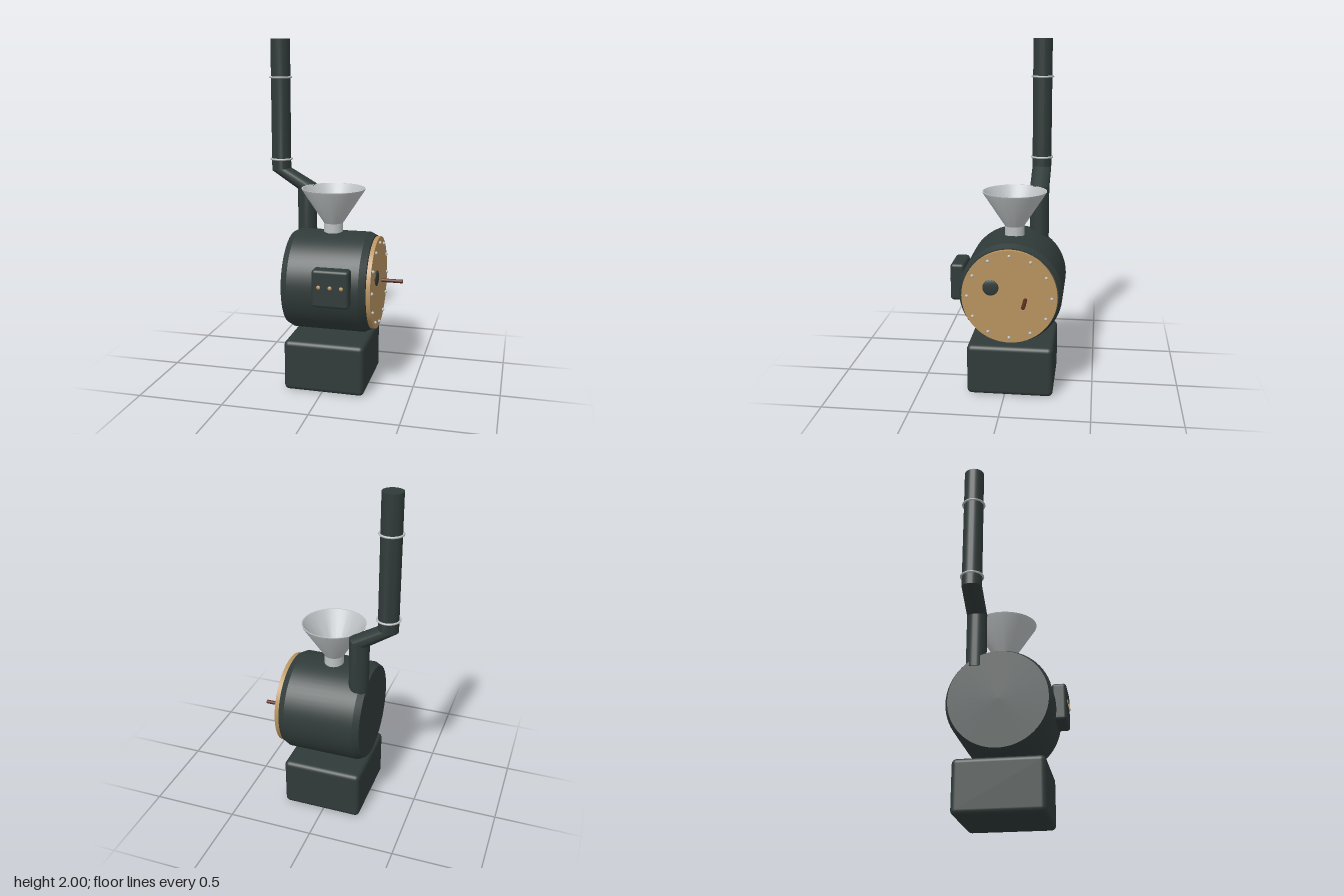
import * as THREE from 'three';
import { toCreasedNormals } from 'three/addons/utils/BufferGeometryUtils.js';
import { RoundedBoxGeometry } from 'three/addons/geometries/RoundedBoxGeometry.js';

const material = (name, color, side = THREE.FrontSide) => {
  const m = new THREE.MeshStandardMaterial({ color, side });
  m.name = name;
  return m;
};

export function createModel() {
  const iron = material('dark iron', 0x303b39);
  const brass = material('brass', 0xb8935f);
  const steel = material('pale steel', 0xbcc0c2, THREE.DoubleSide);
  const wood = material('red brown wood', 0x5c2a20);

  const model = new THREE.Group();
  model.name = 'drumRoaster';
  const add = (name, geometry, mat, x, y, z, parent = model) => {
    const mesh = new THREE.Mesh(geometry, mat);
    mesh.name = name;
    mesh.position.set(x, y, z);
    parent.add(mesh);
    return mesh;
  };
  const lathe = (profile, segments, crease) => toCreasedNormals(
    new THREE.LatheGeometry(profile.map(([r, y]) => new THREE.Vector2(r, y)), segments), crease);
  const rod = (r, length, segments) =>
    new THREE.CylinderGeometry(r, r, length, segments).rotateZ(-Math.PI / 2);

  const axisY = 0.613, axisZ = -0.033;

  // Base block
  add('base', new RoundedBoxGeometry(0.47, 0.297, 0.495, 4, 0.028), iron, 0.01, 0.1485, -0.03);

  // Drum lying along x, with chamfered ends
  const drum = lathe([[0, -0.23], [0.274, -0.23], [0.292, -0.193], [0.292, 0.218],
    [0.274, 0.255], [0, 0.255]], 64, 0.3).rotateZ(-Math.PI / 2);
  add('drum', drum, iron, 0, axisY, axisZ);

  // Brass face plate with its ring of bolts
  add('facePlate', rod(0.268, 0.024, 64), brass, 0.27, axisY, axisZ);
  const bolts = new THREE.Group();
  bolts.name = 'bolts';
  model.add(bolts);
  const boltGeometry = new THREE.SphereGeometry(0.009, 12, 8);
  for (let i = 0; i < 12; i++) {
    const a = i * Math.PI / 6;
    add('bolt', boltGeometry, steel, 0.286,
      axisY + 0.237 * Math.cos(a), axisZ + 0.237 * Math.sin(a), bolts);
  }

  // Peephole and sampling handle
  add('peephole', new THREE.SphereGeometry(0.045, 32, 16).scale(0.2, 1, 1), iron, 0.289, 0.667, 0.07);
  add('handle', rod(0.011, 0.135, 16), wood, 0.34, 0.6, -0.123);

  // Control box with buttons
  add('controlBox', new RoundedBoxGeometry(0.21, 0.215, 0.082, 4, 0.018), iron, 0.074, 0.653, 0.275);
  const buttonGeometry = new THREE.SphereGeometry(0.012, 16, 10).scale(1, 1, 0.8);
  for (const x of [0.01, 0.074, 0.138]) add('button', buttonGeometry, brass, x, 0.663, 0.314);

  // Open hopper funnel
  add('hopper', lathe([[0.056, 0.87], [0.056, 0.955], [0.182, 1.148], [0.185, 1.157],
    [0.178, 1.157], [0.05, 0.96], [0.05, 0.87]], 48, 0.4), steel, 0.01, 0, -0.034);

  // Chimney: one cylinder whose four rings are shifted and tilted into a dogleg
  const rings = [
    { x: -0.182, y: 0.81, tilt: 0 },
    { x: -0.182, y: 1.14, tilt: 0.28 },
    { x: -0.342, y: 1.238, tilt: 0.14 },
    { x: -0.342, y: 2, tilt: 0 },
  ];
  const pipe = new THREE.CylinderGeometry(0.057, 0.057, 3, 36, 3);
  const p = pipe.attributes.position;
  for (let i = 0; i < p.count; i++) {
    const ring = rings[Math.round(p.getY(i) + 1.5)];
    p.setXY(i, ring.x + p.getX(i), ring.y + ring.tilt * p.getX(i));
  }
  add('chimney', toCreasedNormals(pipe, 0.4), iron, 0, 0, -0.162);

  // Steel collars on the chimney
  const collar = new THREE.TorusGeometry(0.062, 0.006, 10, 40).rotateX(Math.PI / 2);
  for (const y of [1.3, 1.78]) add('chimneyCollar', collar, steel, -0.342, y, -0.162);

  return model;
}
